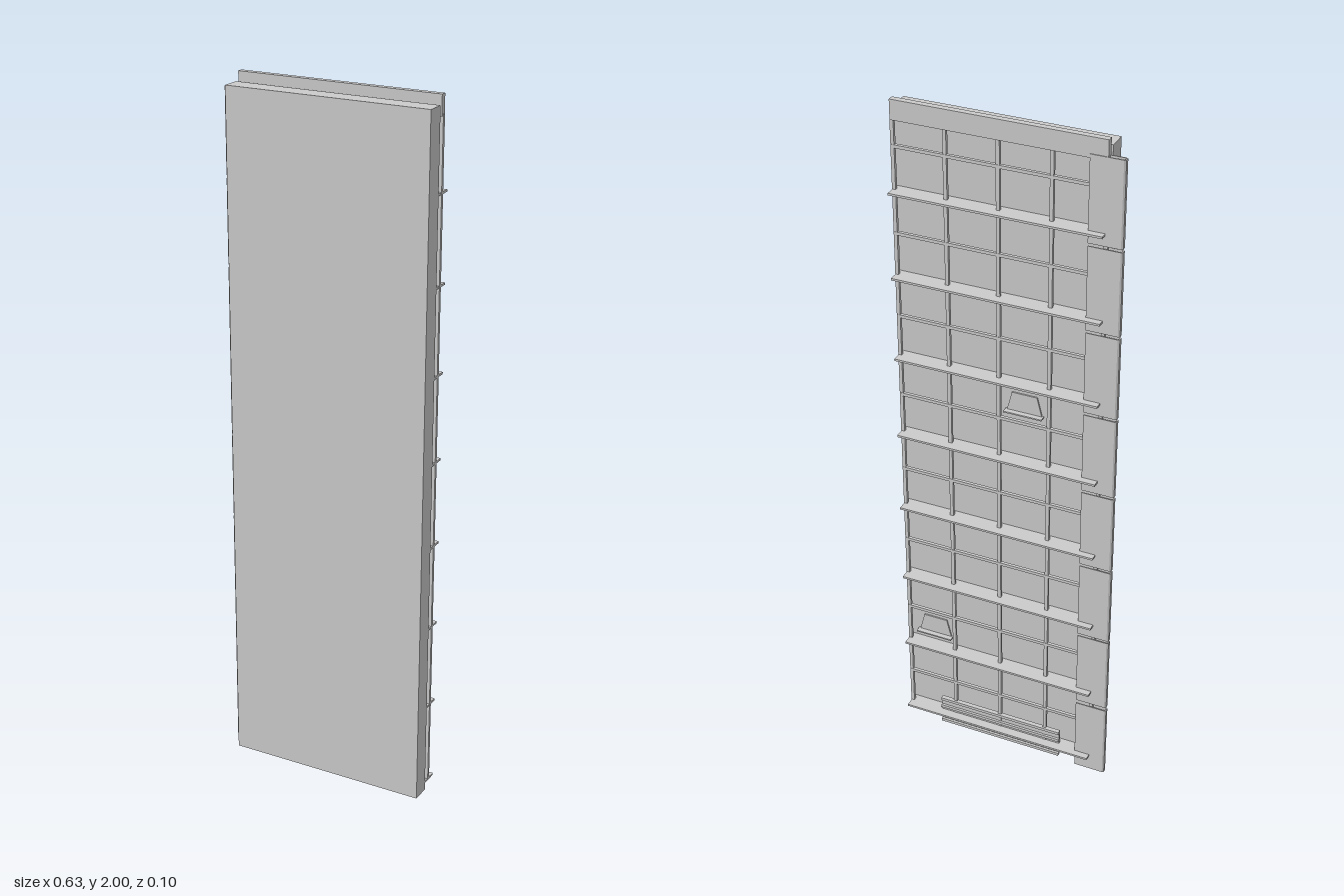
import * as THREE from 'three';

const material = new THREE.MeshStandardMaterial({ color: 0xcccccc, flatShading: true });

export function createModel() {
  const model = new THREE.Group();

  const add = (name, geometry) => {
    const mesh = new THREE.Mesh(geometry, material);
    mesh.name = name;
    model.add(mesh);
    return mesh;
  };
  // Box given by its limits on each axis
  const box = (name, x0, x1, y0, y1, z0, z1) =>
    add(name, new THREE.BoxGeometry(x1 - x0, y1 - y0, z1 - z0))
      .position.set((x0 + x1) / 2, (y0 + y1) / 2, (z0 + z1) / 2);
  const polygon = (points) => new THREE.Shape(points.map(([x, y]) => new THREE.Vector2(x, y)));

  // Front slab and the strip standing behind its top edge
  box('frontPanel', -0.27, 0.313, 0.026, 1.975, -0.003, 0.05);
  box('topStrip', -0.27, 0.311, 1.945, 2, -0.032, -0.015);

  // Edge channel in eight lengths: folded section with a wide back leg
  const section = polygon([
    [-0.223, 0.034], [-0.31, 0.034], [-0.315, 0.031], [-0.315, 0.02], [-0.31, 0.017],
    [-0.262, 0.017], [-0.262, 0.02], [-0.309, 0.02], [-0.312, 0.022], [-0.312, 0.029],
    [-0.309, 0.031], [-0.223, 0.031],
  ]);
  const pitch = 0.245;
  for (let i = 0; i < 8; i++) {
    const length = new THREE.ExtrudeGeometry(section, { depth: pitch - 0.008, bevelEnabled: false });
    length.rotateX(-Math.PI / 2);
    add('edgeChannel', length).position.y = i * pitch + (i ? 0.004 : 0);
  }

  // Deep horizontal ribs with thin bars halfway between them
  for (let i = 0; i < 8; i++) {
    const y = 0.05 + i * 0.243;
    box('deepRib', -0.268, 0.313, y - 0.003, y + 0.003, -0.053, -0.003);
    box('thinBar', -0.268, 0.311, y + 0.1175, y + 0.1265, -0.028, -0.019);
  }

  // Upright bars of the lattice
  for (let i = 0; i < 5; i++) {
    const x = 0.309 - i * 0.144;
    box('uprightBar', x - 0.005, x + 0.005, 0.05, 1.95, -0.027, -0.018);
  }

  // Two tapered brackets on the back of the slab, each with a small ledge
  const tab = polygon([[-0.05, 0], [0.05, 0], [0.036, 0.055], [-0.036, 0.055]]);
  for (const [x, y] of [[-0.045, 1.165], [0.235, 0.325]]) {
    const plate = new THREE.ExtrudeGeometry(tab, { depth: 0.004, bevelEnabled: false });
    add('bracketPlate', plate).position.set(x, y, -0.007);
    box('bracketLedge', x - 0.055, x + 0.055, y - 0.004, y, -0.022, -0.003);
  }

  // Ribbed foot plate at the bottom
  box('footPlate', -0.17, 0.21, 0.01, 0.1, -0.026, -0.02);
  for (let i = 0; i < 4; i++) {
    const y = 0.01 + i * 0.027;
    box('footRib', -0.17, 0.21, y, y + 0.009, -0.033, -0.026);
  }

  return model;
}
